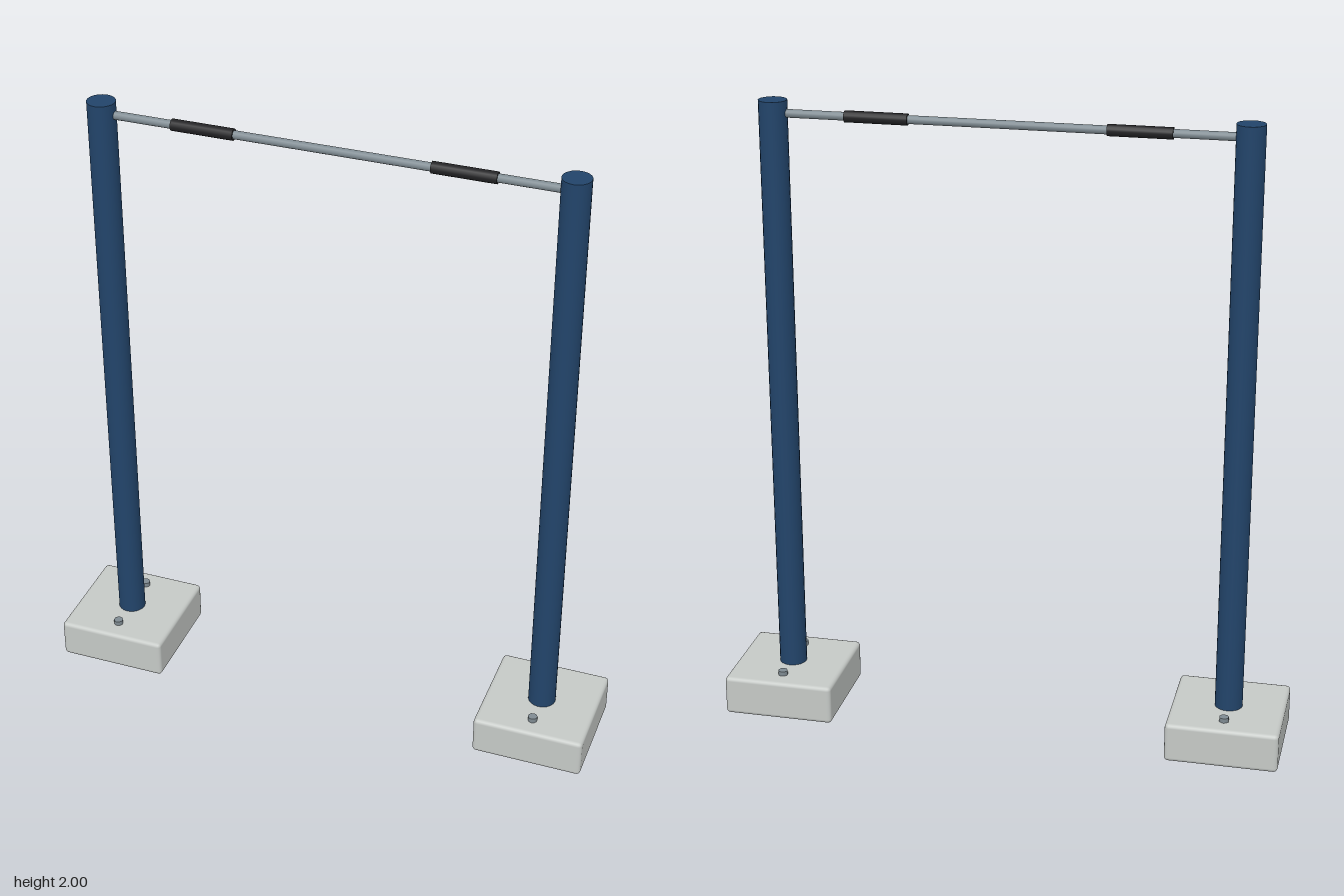
import * as THREE from 'three';
import { RoundedBoxGeometry } from 'three/addons/geometries/RoundedBoxGeometry.js';

export function createModel() {
  const model = new THREE.Group();
  model.name = 'pullUpBar';

  const material = (name, color) => {
    const m = new THREE.MeshStandardMaterial({ color });
    m.name = name;
    return m;
  };
  const navy = material('navy paint', 0x22446a);
  const concrete = material('concrete', 0xc5c9c6);
  const steel = material('steel', 0x7f8b92);
  const rubber = material('black rubber', 0x222224);

  const add = (parent, name, geometry, mat, x, y, z) => {
    const mesh = new THREE.Mesh(geometry, mat);
    mesh.name = name;
    mesh.position.set(x, y, z);
    parent.add(mesh);
    return mesh;
  };

  const postX = 0.72, barY = 1.96, baseHeight = 0.128;

  // Shared shapes
  const baseGeometry = new RoundedBoxGeometry(0.356, baseHeight, 0.356, 2, 0.013);
  const postGeometry = new THREE.CylinderGeometry(0.044, 0.044, 2 - 0.1, 20);
  const boltGeometry = new THREE.CylinderGeometry(0.015, 0.015, 0.04, 10);
  const gripGeometry = new THREE.CylinderGeometry(0.018, 0.018, 0.195, 16).rotateZ(Math.PI / 2);
  const barGeometry = new THREE.CylinderGeometry(0.013, 0.013, postX * 2, 16).rotateZ(Math.PI / 2);

  // Each side: footing, post, two anchor bolts and a hand grip
  for (const side of [-1, 1]) {
    const support = new THREE.Group();
    support.name = side > 0 ? 'leftSupport' : 'rightSupport';
    support.position.x = side * postX;
    model.add(support);

    add(support, 'footing', baseGeometry, concrete, 0, 0.002 + baseHeight / 2, 0);
    add(support, 'post', postGeometry, navy, 0, 1.05, 0);
    for (const z of [-0.112, 0.112]) {
      add(support, 'anchorBolt', boltGeometry, steel, 0, 0.125, z);
    }
    add(model, side > 0 ? 'leftGrip' : 'rightGrip', gripGeometry, rubber, side * 0.398, barY, 0);
  }

  // Horizontal bar, ending inside the posts
  add(model, 'crossbar', barGeometry, steel, 0, barY, 0);

  return model;
}
